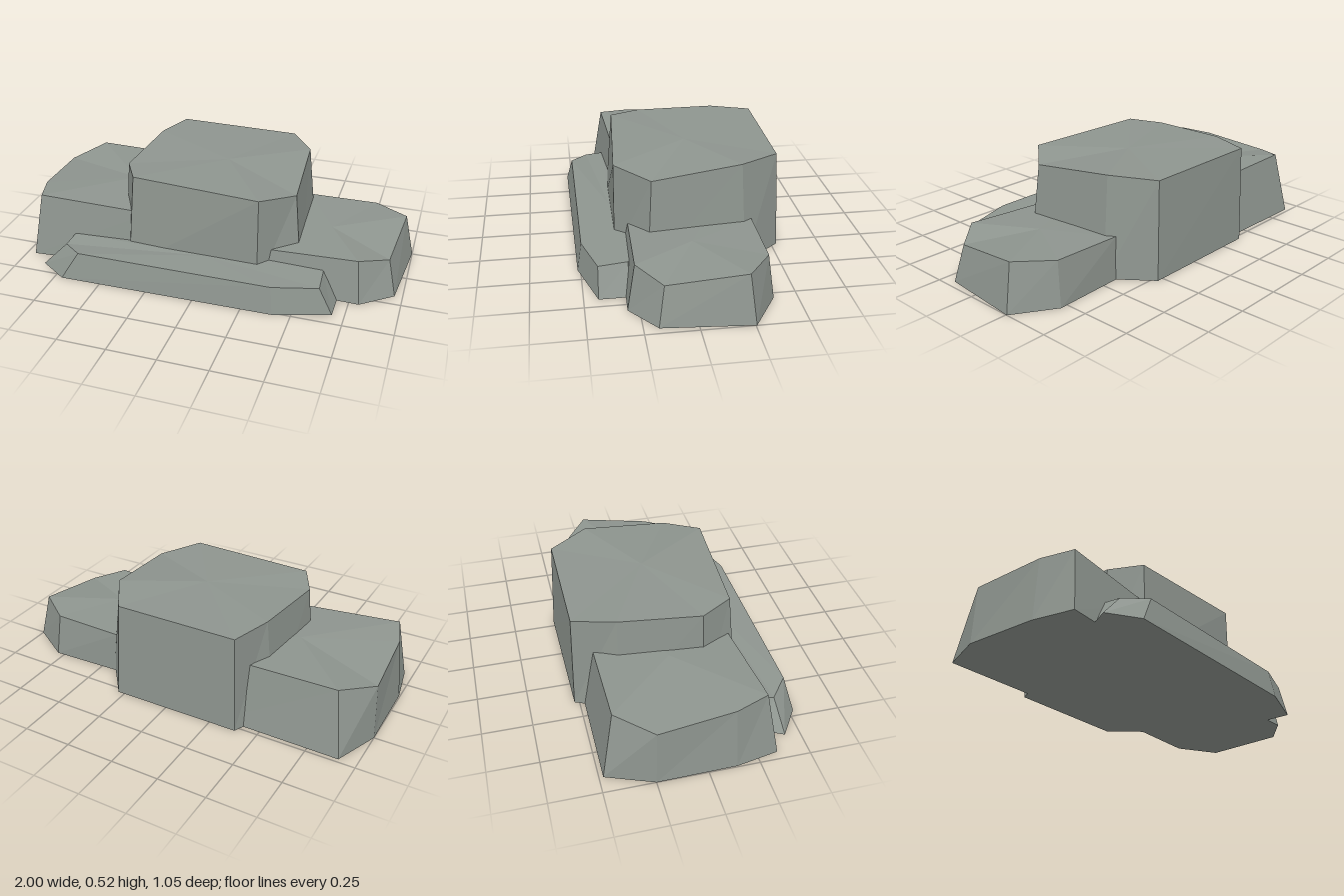
import * as THREE from 'three';

const stone = new THREE.MeshStandardMaterial({ color: 0x8e958f, flatShading: true });
stone.name = 'grey stone';

// A faceted boulder: base ring on the ground, a smaller top ring, and a fan to a crown point.
// Each corner is [base x, base z, top x, top y, top z], going left, front, right, back.
function boulder(name, crown, corners) {
  const pos = [];
  const tri = (...points) => points.forEach((p) => pos.push(...p));
  const base = corners.map(([x, z]) => [x, 0, z]);
  const top = corners.map(([, , x, y, z]) => [x, y, z]);
  const middle = [crown[0], 0, crown[2]];
  corners.forEach((_, i) => {
    const j = (i + 1) % corners.length;
    tri(base[i], base[j], top[j]);
    tri(base[i], top[j], top[i]);
    tri(crown, top[i], top[j]);
    tri(middle, base[j], base[i]);
  });
  const geometry = new THREE.BufferGeometry();
  geometry.setAttribute('position', new THREE.Float32BufferAttribute(pos, 3));
  geometry.computeVertexNormals();
  const mesh = new THREE.Mesh(geometry, stone);
  mesh.name = name;
  return mesh;
}

export function createModel() {
  const group = new THREE.Group();
  group.name = 'rockCluster';

  // Tall block in the middle
  group.add(boulder('centreRock', [0.01, 0.508, -0.08], [
    [-0.39, -0.525, -0.38, 0.51, -0.515],
    [-0.49, -0.31, -0.445, 0.515, -0.305],
    [-0.515, 0.12, -0.48, 0.5, 0.11],
    [-0.42, 0.31, -0.39, 0.51, 0.27],
    [0.28, 0.32, 0.28, 0.5, 0.315],
    [0.475, 0.17, 0.43, 0.47, 0.145],
    [0.45, -0.325, 0.4, 0.518, -0.305],
    [0.285, -0.53, 0.265, 0.505, -0.51],
  ]));

  // Medium block on the -x side
  group.add(boulder('rightRock', [-0.52, 0.325, -0.07], [
    [-0.91, -0.48, -0.86, 0.335, -0.42],
    [-1.0, -0.25, -0.99, 0.295, -0.245],
    [-0.995, 0.14, -0.965, 0.325, 0.13],
    [-0.955, 0.35, -0.91, 0.337, 0.295],
    [-0.3, 0.3, -0.32, 0.305, 0.26],
    [-0.08, 0.1, -0.12, 0.3, 0.1],
    [-0.08, -0.25, -0.12, 0.32, -0.25],
    [-0.28, -0.475, -0.3, 0.325, -0.42],
  ]));

  // Low block on the +x side
  group.add(boulder('leftRock', [0.59, 0.222, -0.03], [
    [0.38, -0.37, 0.4, 0.22, -0.36],
    [0.2, -0.2, 0.22, 0.21, -0.2],
    [0.2, 0.15, 0.22, 0.2, 0.14],
    [0.31, 0.29, 0.33, 0.203, 0.255],
    [0.8, 0.305, 0.775, 0.225, 0.267],
    [0.96, 0.18, 0.915, 0.19, 0.15],
    [1.0, -0.255, 0.95, 0.238, -0.23],
    [0.79, -0.385, 0.775, 0.225, -0.355],
  ]));

  // Long flat slab along the front
  group.add(boulder('frontSlab', [0, 0.145, 0.32], [
    [-0.6, 0.12, -0.55, 0.14, 0.14],
    [-0.81, 0.33, -0.72, 0.145, 0.31],
    [-0.86, 0.425, -0.73, 0.132, 0.405],
    [-0.71, 0.525, -0.62, 0.146, 0.495],
    [0.41, 0.515, 0.395, 0.142, 0.492],
    [0.69, 0.43, 0.62, 0.138, 0.425],
    [0.69, 0.29, 0.61, 0.146, 0.28],
    [0.45, 0.12, 0.42, 0.15, 0.14],
  ]));

  return group;
}
